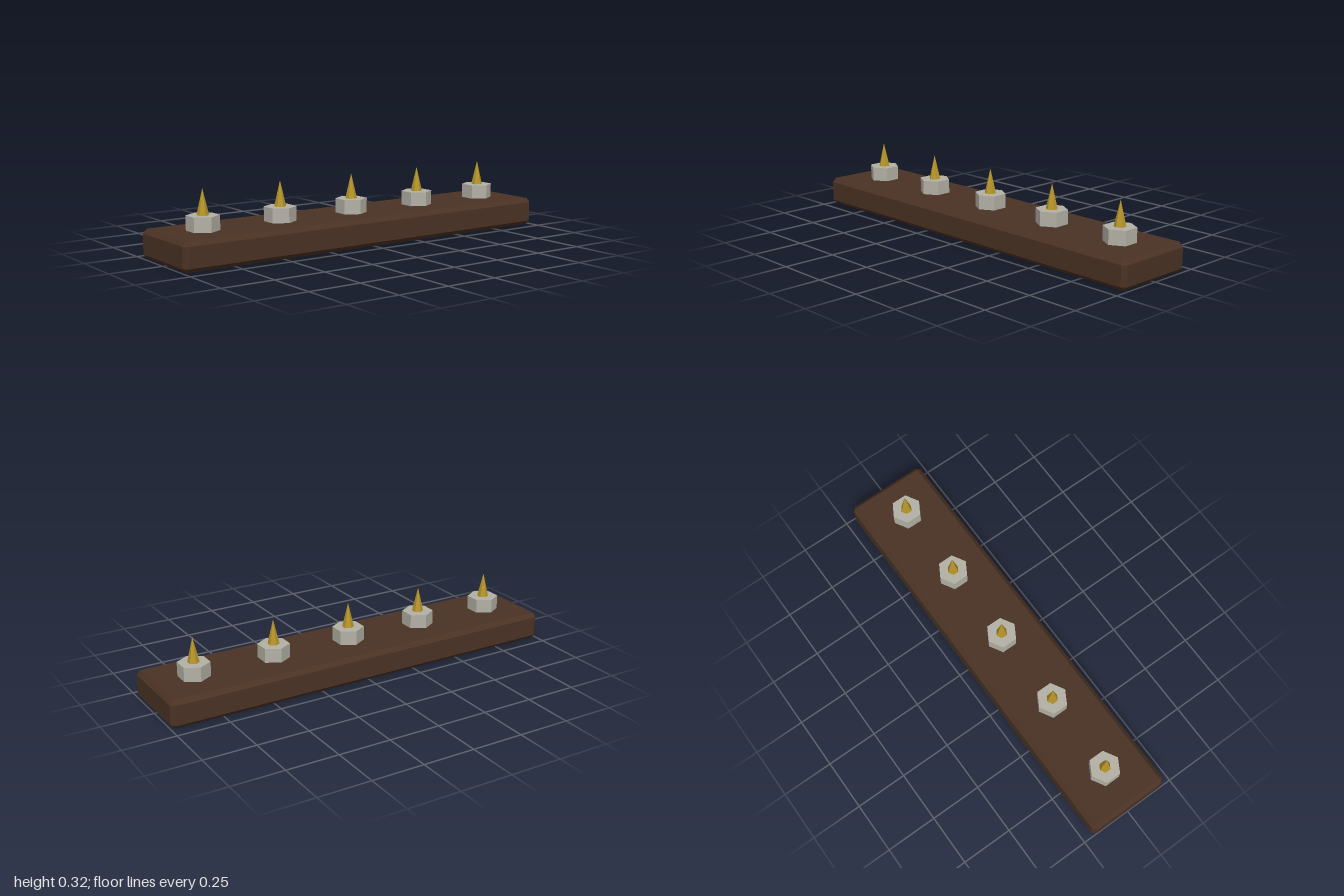
import * as THREE from 'three';

const brown = new THREE.MeshStandardMaterial({ color: 0x4a3224, flatShading: true, side: THREE.DoubleSide });
const steel = new THREE.MeshStandardMaterial({ color: 0xb4b2a6, flatShading: true });
const brass = new THREE.MeshStandardMaterial({ color: 0xb8962a, flatShading: true });

// Chamfered hollow plank, open underneath: octagonal rings that narrow to rectangles
function plankGeometry(hx, hz, height, bevel) {
  const ring = (y, grow) => {
    const x = hx - bevel, z = hz - bevel;
    return [[1, 1], [1, -1], [-1, -1], [-1, 1]].flatMap(([sx, sz]) => {
      const alongZ = [sx * x, y, sz * (z + grow)];
      const alongX = [sx * (x + grow), y, sz * z];
      return sx * sz > 0 ? [alongZ, alongX] : [alongX, alongZ];
    });
  };
  const rings = [ring(0, 0), ring(bevel, bevel), ring(height - bevel, bevel), ring(height, 0)];
  const positions = [];
  const tri = (...corners) => corners.forEach((c) => positions.push(...c));
  for (let r = 0; r < 3; r++) {
    for (let i = 0; i < 8; i++) {
      const j = (i + 1) % 8;
      const a = rings[r][i], b = rings[r][j], c = rings[r + 1][j], d = rings[r + 1][i];
      // End rings pinch to a point at each corner, so only one triangle is needed there
      const corner = i % 2 === 0;
      if (!(corner && r === 0)) tri(a, b, c);
      if (!(corner && r === 2)) tri(a, c, d);
    }
  }
  const top = rings[3];
  tri(top[0], top[2], top[4]);
  tri(top[0], top[4], top[6]);
  const geometry = new THREE.BufferGeometry();
  geometry.setAttribute('position', new THREE.Float32BufferAttribute(positions, 3));
  geometry.computeVertexNormals();
  return geometry;
}

export function createModel() {
  const model = new THREE.Group();
  model.name = 'spikedPlank';

  const plank = new THREE.Mesh(plankGeometry(1, 0.203, 0.135, 0.02), brown);
  plank.name = 'plank';
  model.add(plank);

  // Five hexagonal nuts, each with a six-sided spike
  const nutGeometry = new THREE.CylinderGeometry(0.075, 0.075, 0.088, 6);
  const spikeGeometry = new THREE.ConeGeometry(0.028, 0.12, 6);
  for (let i = -2; i <= 2; i++) {
    const stud = new THREE.Group();
    stud.name = 'stud';
    stud.position.x = i * 0.4;

    const nut = new THREE.Mesh(nutGeometry, steel);
    nut.name = 'hexNut';
    nut.position.y = 0.159;

    const spike = new THREE.Mesh(spikeGeometry, brass);
    spike.name = 'spike';
    spike.position.y = 0.262;

    stud.add(nut, spike);
    model.add(stud);
  }
  return model;
}
